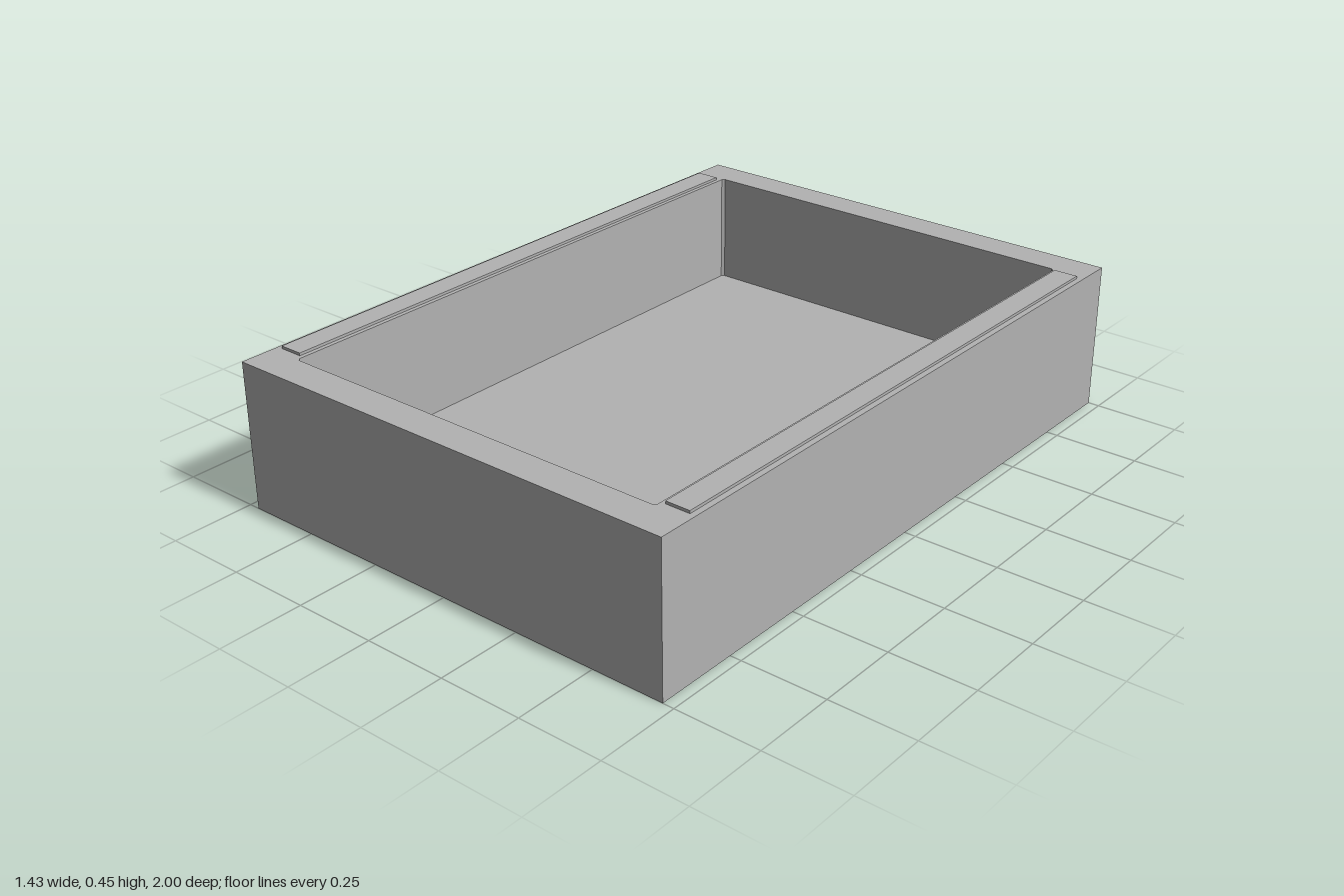
import * as THREE from 'three';

const W = 0.717, D = 1.0, H = 0.44;     // outer half width, half depth, height
const IW = 0.615, ID = 0.9, FLOOR = 0.1; // cavity half width, half depth, floor height
const CUT = 0.008;                       // small bevel in the cavity corners

// Rectangle with bevelled corners, centred on the origin
function outline(w, d, c) {
  return [
    [-w + c, -d], [w - c, -d], [w, -d + c], [w, d - c],
    [w - c, d], [-w + c, d], [-w, d - c], [-w, -d + c],
  ].map(([x, y]) => new THREE.Vector2(x, y));
}

// Extrude a plan shape upwards from y = 0
function slab(shape, height) {
  return new THREE.ExtrudeGeometry(shape, { depth: height, bevelEnabled: false }).rotateX(-Math.PI / 2);
}

export function createModel() {
  const model = new THREE.Group();
  model.name = 'openTray';
  const grey = new THREE.MeshStandardMaterial({ color: 0xb2b2b2 });
  grey.name = 'grey';

  const add = (name, geometry) => {
    const mesh = new THREE.Mesh(geometry, grey);
    mesh.name = name;
    model.add(mesh);
    return mesh;
  };

  // Four walls as one frame around the cavity
  const frame = new THREE.Shape([
    new THREE.Vector2(-W, -D), new THREE.Vector2(W, -D),
    new THREE.Vector2(W, D), new THREE.Vector2(-W, D),
  ]);
  frame.holes.push(new THREE.Path(outline(IW, ID, CUT).reverse()));
  add('walls', slab(frame, H));

  // Floor filling the bottom of the cavity
  add('floor', slab(new THREE.Shape(outline(IW, ID, CUT)), FLOOR));

  // Thin raised rails along the long walls
  for (const [name, side] of [['leftRail', 1], ['rightRail', -1]]) {
    add(name, new THREE.BoxGeometry(0.072, 0.008, 1.76)).position.set(side * 0.664, H + 0.004, 0);
  }
  return model;
}
